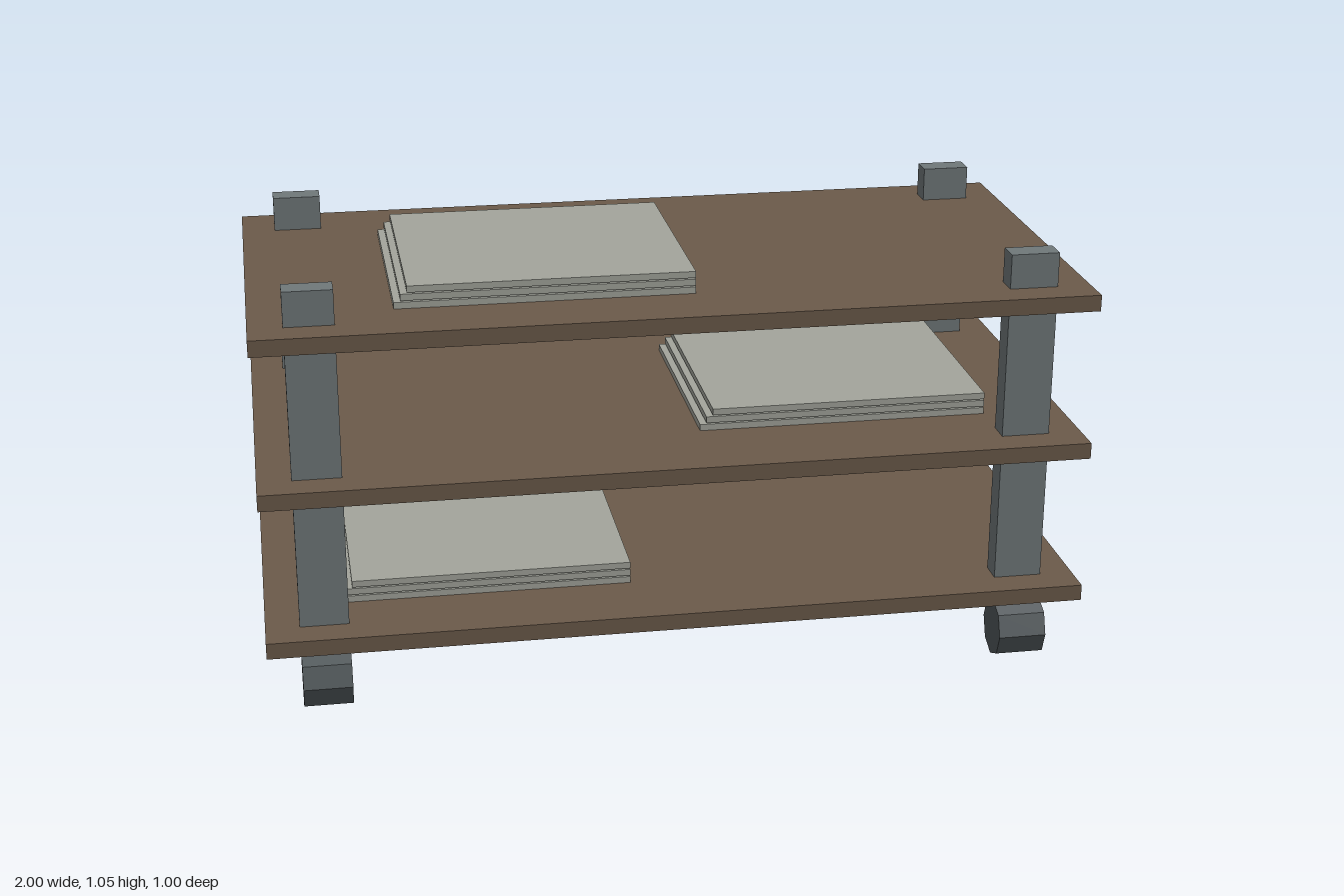
import * as THREE from 'three';

const material = (color) => new THREE.MeshStandardMaterial({ color, flatShading: true });

// Box given by its lower and upper limits on each axis
function box(name, mat, [x0, x1], [y0, y1], [z0, z1]) {
  const mesh = new THREE.Mesh(new THREE.BoxGeometry(x1 - x0, y1 - y0, z1 - z0), mat);
  mesh.position.set((x0 + x1) / 2, (y0 + y1) / 2, (z0 + z1) / 2);
  mesh.name = name;
  return mesh;
}

export function createModel() {
  const model = new THREE.Group();
  model.name = 'rollingShelfCart';
  const wood = material(0x6b5a4a);
  const metal = material(0x70787a);
  const rubber = material(0x50575a);
  const paper = material(0xa3a59c);

  // Three shelf boards, each with a stack of sheets stepped back on one side
  const shelves = [
    { name: 'bottom', top: 0.21, x: [-0.818, -0.1], z: [-0.3, 0.3] },
    { name: 'middle', top: 0.588, x: [0.08, 0.8], z: [-0.34, 0.262] },
    { name: 'top', top: 0.965, x: [-0.66, 0.055], z: [-0.27, 0.328] },
  ];
  for (const { name, top, x, z } of shelves) {
    model.add(box(`${name}Shelf`, wood, [-1, 1], [top - 0.04, top], [-0.5, 0.5]));
    const stack = new THREE.Group();
    stack.name = `${name}SheetStack`;
    for (let i = 0; i < 3; i++) {
      const y = top + i * 0.0193;
      stack.add(box('sheet', paper, [x[0] + i * 0.016, x[1]], [y, y + 0.016], z));
    }
    model.add(stack);
  }

  // Posts through the boards, each with an eight-sided wheel centred on its front face
  const wheelGeometry = new THREE.CylinderGeometry(1, 1, 0.118, 8).rotateZ(Math.PI / 2);
  wheelGeometry.scale(1, 0.074, 0.069);
  for (const [end, z] of [['front', 0.42], ['back', -0.358]]) {
    for (const [side, x] of [['Left', 0.859], ['Right', -0.859]]) {
      model.add(box(`${end}${side}Post`, metal, [x - 0.059, x + 0.059], [0.128, 1.05], [z - 0.06, z]));
      const wheel = new THREE.Mesh(wheelGeometry, rubber);
      wheel.name = `${end}${side}Wheel`;
      wheel.position.set(x, 0.075, z);
      model.add(wheel);
    }
  }
  return model;
}
